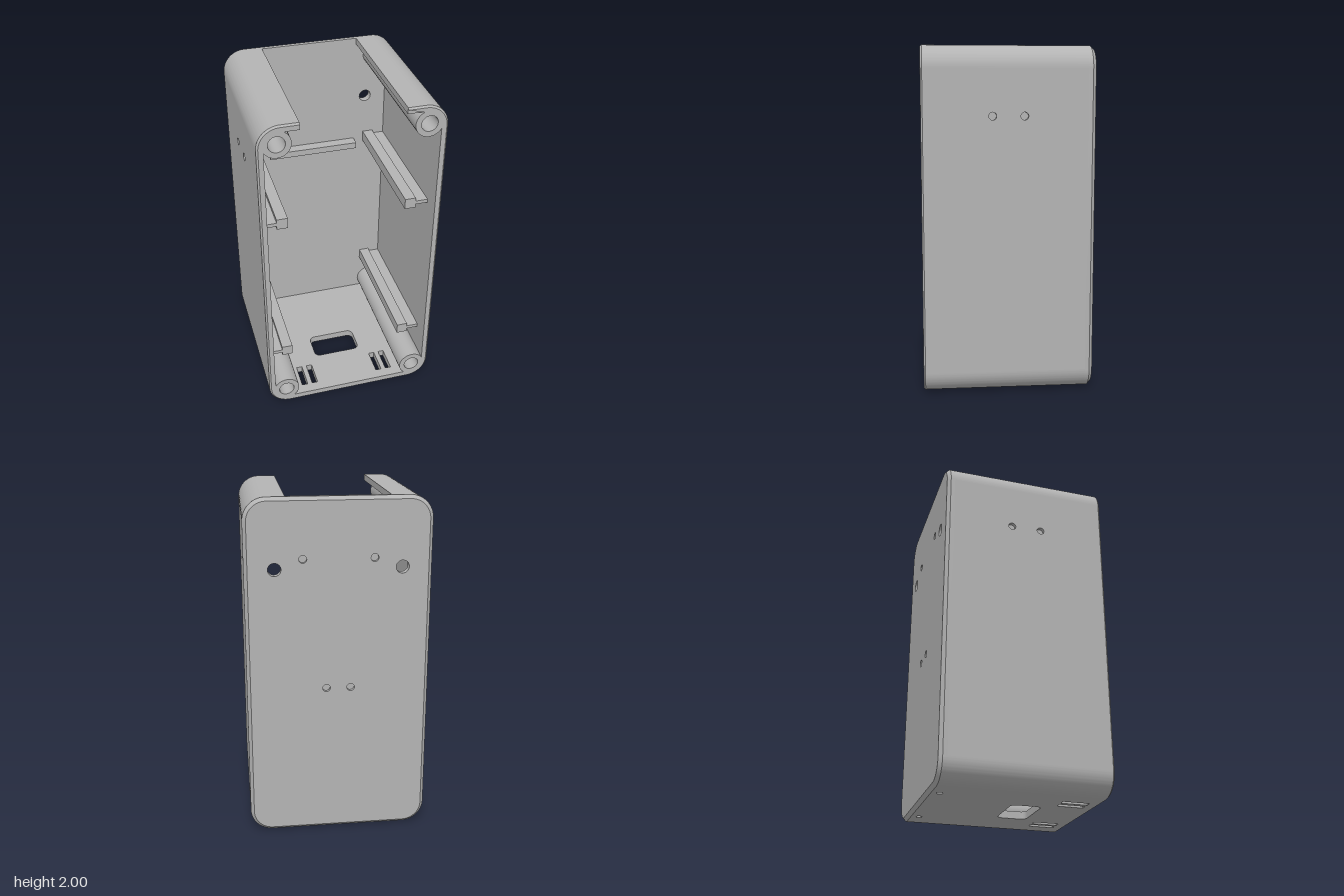
import * as THREE from 'three';
import { toCreasedNormals } from 'three/addons/utils/BufferGeometryUtils.js';

const W = 0.525, H = 2, R = 0.13;      // outer half width, height, corner radius
const WALL = 0.038, FLOOR = 0.045;     // thicknesses
const BACK = -0.495, INNER = -0.45, LIP = 0.48, FRONT = 0.49;
const GAP = 0.292;                     // half width of the open top

export function createModel() {
  const group = new THREE.Group();
  const grey = new THREE.MeshStandardMaterial({ color: 0xb3b3b3 });

  const add = (name, geo, x = 0, y = 0, z = 0) => {
    const mesh = new THREE.Mesh(geo, grey);
    mesh.name = name;
    mesh.position.set(x, y, z);
    group.add(mesh);
    return mesh;
  };
  const extrude = (shape, depth) => toCreasedNormals(
    new THREE.ExtrudeGeometry(shape, { depth, bevelEnabled: false, curveSegments: 16 }), 0.5);
  const circle = (x, y, r) => new THREE.Path().absarc(x, y, r, 0, Math.PI * 2, true);
  const roundRect = (x0, y0, x1, y1, r) => {
    const s = new THREE.Shape();
    s.absarc(x1 - r, y0 + r, r, -Math.PI / 2, 0, false);
    s.absarc(x1 - r, y1 - r, r, 0, Math.PI / 2, false);
    s.absarc(x0 + r, y1 - r, r, Math.PI / 2, Math.PI, false);
    s.absarc(x0 + r, y0 + r, r, Math.PI, Math.PI * 1.5, false);
    s.closePath();
    return s;
  };
  const rect = (x0, y0, x1, y1) => new THREE.Shape([
    new THREE.Vector2(x0, y0), new THREE.Vector2(x1, y0),
    new THREE.Vector2(x1, y1), new THREE.Vector2(x0, y1)]);

  // Outer outline as an open path: up the right side from the top gap, round the bottom and back
  const outline = (inset, closed) => {
    const w = W - inset, r = R - inset, pts = [];
    const corner = (cx, cy, a) => {
      for (let i = 0; i <= 16; i++) {
        const t = a + (i / 16) * Math.PI / 2;
        pts.push(new THREE.Vector2(cx + r * Math.cos(t), cy + r * Math.sin(t)));
      }
    };
    const top = H - inset, g = GAP;
    if (!closed) pts.push(new THREE.Vector2(-g, top));
    corner(-w + r, top - r, Math.PI / 2);
    corner(-w + r, inset + r, Math.PI);
    corner(w - r, inset + r, Math.PI * 1.5);
    corner(w - r, top - r, 0);
    pts.push(closed ? pts[0].clone() : new THREE.Vector2(g, top));
    return pts;
  };

  // Chamfer strip between two outlines
  const chamfer = (a, za, b, zb) => {
    const pos = [], idx = [];
    a.forEach((p, i) => pos.push(p.x, p.y, za, b[i].x, b[i].y, zb));
    for (let i = 0; i < a.length - 1; i++) {
      const k = i * 2;
      idx.push(k, k + 2, k + 1, k + 1, k + 2, k + 3);
    }
    const g = new THREE.BufferGeometry();
    g.setAttribute('position', new THREE.Float32BufferAttribute(pos, 3));
    g.setIndex(idx);
    g.computeVertexNormals();
    return g;
  };

  // Back wall: chamfered outer layer with blind holes, inner layer with through holes only
  const outer = roundRect(-W + 0.02, 0.02, W - 0.02, H - 0.02, R - 0.02);
  const inner = roundRect(-W, 0, W, H, R);
  for (const s of [-1, 1]) {
    outer.holes.push(circle(s * 0.357, 1.605, 0.037), circle(s * 0.2, 1.66, 0.022), circle(s * 0.07, 0.903, 0.022));
    inner.holes.push(circle(s * 0.357, 1.605, 0.037));
  }
  add('backWallOuter', extrude(outer, 0.02), 0, 0, BACK);
  add('backWallInner', extrude(inner, 0.025), 0, 0, BACK + 0.02);
  add('backChamfer', chamfer(outline(0.02, true), BACK, outline(0, true), BACK + 0.02));

  // Side walls: two layers so the small holes stay blind
  const sidePanel = (holes, depth) => {
    const s = rect(-LIP, R, -INNER, H - R);
    if (holes) s.holes.push(circle(-0.09, 1.605, 0.022), circle(0.09, 1.605, 0.022));
    return extrude(s, depth).rotateY(Math.PI / 2);
  };
  const skin = 0.022;
  add('leftWallOuter', sidePanel(true, skin), W - skin);
  add('leftWallInner', sidePanel(false, WALL - skin), W - WALL);
  add('rightWallOuter', sidePanel(true, skin), -W);
  add('rightWallInner', sidePanel(false, WALL - skin), -W + skin);

  // Floor with port window, strap slots and blind holes
  const floorPanel = (holes, depth) => {
    const s = rect(-W + R, -LIP, W - R, -INNER);
    s.holes.push(roundRect(-0.15, -0.195, 0.15, -0.015, 0.035));
    for (const m of [-1, 1]) {
      for (const x of [0.217, 0.283]) s.holes.push(rect(m * x - 0.018, -0.425, m * x + 0.018, -0.267));
      if (holes) s.holes.push(circle(m * 0.27, 0.428, 0.018));
    }
    return extrude(s, depth).rotateX(-Math.PI / 2);
  };
  add('floorOuter', floorPanel(true, 0.022));
  add('floorInner', floorPanel(false, FLOOR - 0.022), 0, 0.022);

  // Rounded corners; the top pair carries the edges of the open top
  const r = R - WALL;
  for (const s of [-1, 1]) {
    const side = s > 0 ? 'left' : 'right';
    const cx = s * (W - R), out = s > 0 ? 0 : Math.PI;
    const low = new THREE.Shape();
    low.moveTo(s * W, R);
    low.absarc(cx, R, R, out, -Math.PI / 2, s > 0);
    low.lineTo(cx, FLOOR);
    low.absarc(cx, R, R - FLOOR, -Math.PI / 2, out, s < 0);
    low.lineTo(s * W, R);
    add(side + 'BottomCorner', extrude(low, LIP - INNER), 0, 0, INNER);

    const high = new THREE.Shape();
    high.moveTo(s * W, H - R);
    high.absarc(cx, H - R, R, out, Math.PI / 2, s < 0);
    high.lineTo(s * GAP, H);
    high.lineTo(s * GAP, H - WALL);
    high.lineTo(cx, H - WALL);
    high.absarc(cx, H - R, r, Math.PI / 2, out, s > 0);
    high.lineTo(s * W, H - R);
    add(side + 'TopCorner', extrude(high, LIP - INNER), 0, 0, INNER);

    // Screw bosses with deep blind bores
    for (const [end, y] of [['Bottom', 0.11], ['Top', 1.893]]) {
      const ring = new THREE.Shape().absarc(s * 0.417, y, 0.08, 0, Math.PI * 2, false);
      const core = ring.clone();
      ring.holes.push(circle(s * 0.417, y, 0.047));
      add(side + end + 'ScrewBoss', extrude(ring, 0.5), 0, 0, FRONT - 0.5);
      add(side + end + 'BossBase', extrude(core, FRONT - 0.5 - INNER), 0, 0, INNER);
    }

    // Guide rails: thin web and square head
    for (const [end, y] of [['Lower', 0.333], ['Upper', 1.313]]) {
      const len = 0.83, z = INNER + len / 2;
      add(side + end + 'RailWeb', new THREE.BoxGeometry(0.085, 0.022, len), s * 0.45, y, z);
      add(side + end + 'RailHead', new THREE.BoxGeometry(0.065, 0.066, len), s * 0.381, y, z);
    }
  }

  // Front rim with a fine chamfer
  const innerRim = new THREE.Shape();
  innerRim.moveTo(GAP, H - WALL);
  innerRim.absarc(W - R, H - R, r, Math.PI / 2, 0, true);
  innerRim.absarc(W - R, FLOOR + r, r, 0, -Math.PI / 2, true);
  innerRim.absarc(-W + R, FLOOR + r, r, -Math.PI / 2, -Math.PI, true);
  innerRim.absarc(-W + R, H - R, r, Math.PI, Math.PI / 2, true);
  innerRim.lineTo(-GAP, H - WALL);
  const rim = new THREE.Shape([...outline(0.01, false), ...innerRim.getPoints(16)]);
  add('frontRim', extrude(rim, FRONT - LIP), 0, 0, LIP);
  add('frontChamfer', chamfer(outline(0, false), LIP, outline(0.01, false), FRONT));

  // Ledge on the back wall
  add('backLedge', new THREE.BoxGeometry(0.57, 0.04, 0.066), 0, 1.286, INNER + 0.033);

  return group;
}
